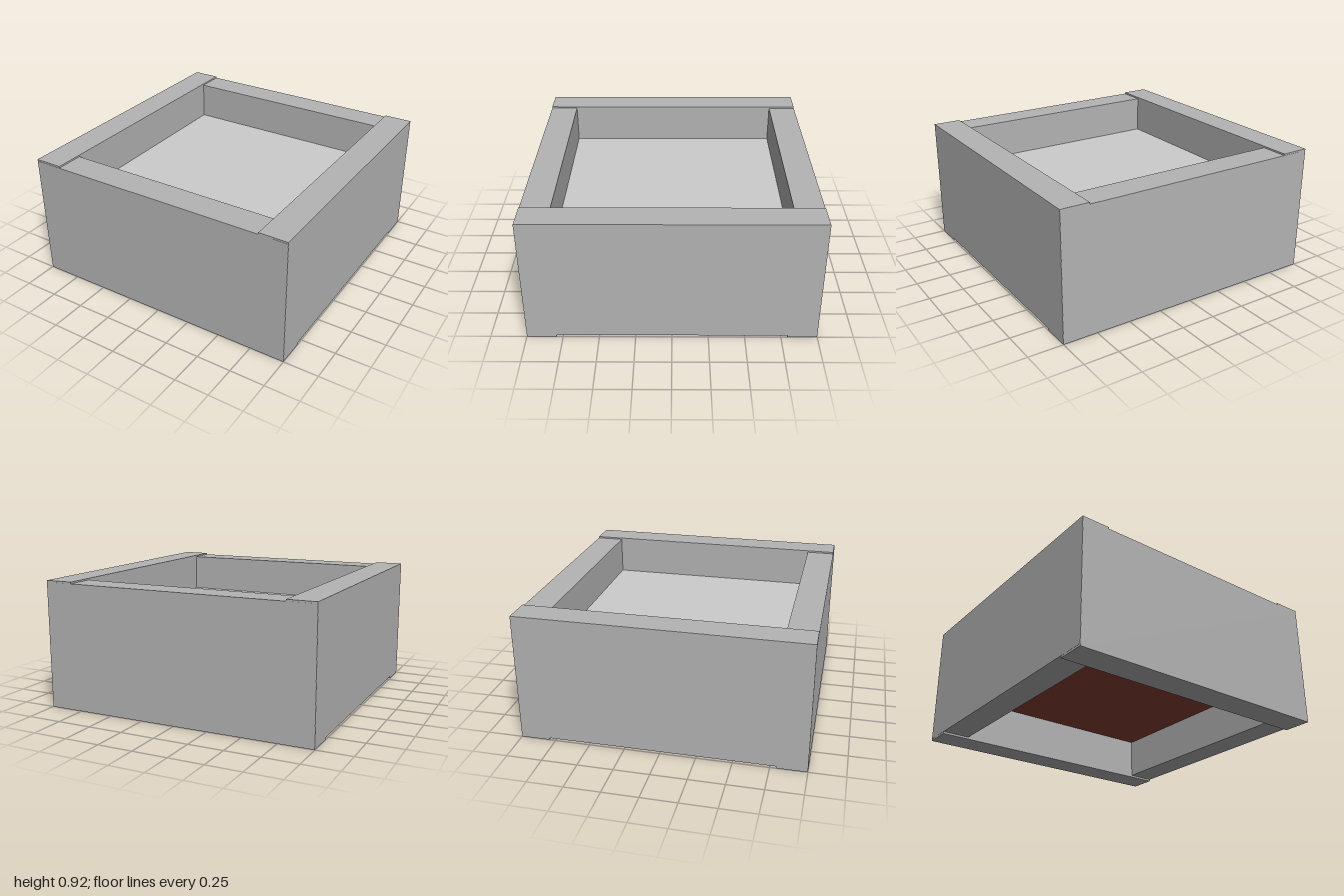
import * as THREE from 'three';

export function createModel() {
  const model = new THREE.Group();
  model.name = 'squarePlanter';
  const wallGrey = new THREE.MeshStandardMaterial({ color: 0xb4b4b4 });
  wallGrey.name = 'wallGrey';
  const paleGrey = new THREE.MeshStandardMaterial({ color: 0xcccccc });
  paleGrey.name = 'paleGrey';
  const brown = new THREE.MeshStandardMaterial({ color: 0x8a4132 });
  brown.name = 'brown';

  // Box spanning y0 to y1
  function addBox(name, material, width, depth, y0, y1, x = 0, z = 0) {
    const mesh = new THREE.Mesh(new THREE.BoxGeometry(width, y1 - y0, depth), material);
    mesh.name = name;
    mesh.position.set(x, (y0 + y1) / 2, z);
    model.add(mesh);
  }

  // Walls overlap at the corners; the side pair sits slightly higher
  const thick = 0.205;
  const offset = 1 - thick / 2;
  for (const s of [1, -1]) {
    addBox(s > 0 ? 'frontWall' : 'backWall', wallGrey, 1.998, thick, 0, 0.908, 0, s * offset);
    addBox(s > 0 ? 'leftWall' : 'rightWall', wallGrey, thick, 1.998, 0.015, 0.92, s * offset, 0);
  }

  // Recessed filling: pale top layer over a brown base
  addBox('topLayer', paleGrey, 1.6, 1.6, 0.47, 0.63);
  addBox('base', brown, 1.6, 1.6, 0.32, 0.47);
  return model;
}
